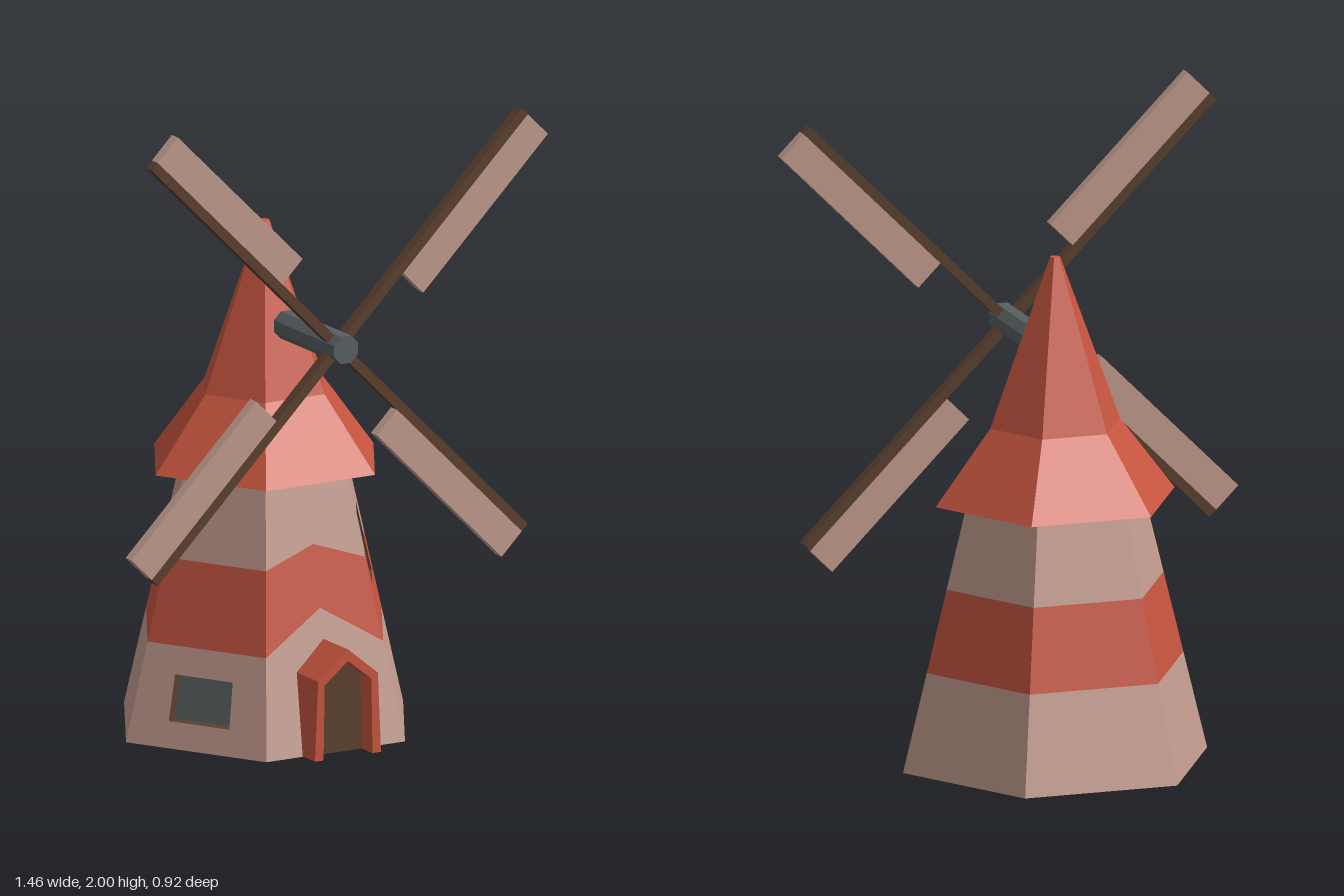
import * as THREE from 'three';

const CX = -0.007, CZ = -0.035, TOP = 0.82;
const mat = (color, side = THREE.FrontSide) =>
  new THREE.MeshStandardMaterial({ color, flatShading: true, side });
const M = {
  wall: mat(0xc49c8f), red: mat(0xc75540), wood: mat(0x5a3f2e),
  reveal: mat(0x5a3f2e, THREE.DoubleSide), grey: mat(0x596062), sail: mat(0xc09a8c),
};

function add(parent, name, geometry, material, x = 0, y = 0, z = 0) {
  const mesh = new THREE.Mesh(geometry, material);
  mesh.name = name;
  mesh.position.set(x, y, z);
  parent.add(mesh);
  return mesh;
}

// Tapered hexagonal tower: distance from axis to wall, and half width of a wall
const apothem = (y) => 0.422 - 0.216 * y;
const half = (y) => apothem(y) / Math.sqrt(3);

// Place a flat shape (u across the wall, y up) on the wall facing the given angle
function onWall(points, angle, depth = 0) {
  const g = new THREE.ShapeGeometry(new THREE.Shape(points.map((p) => new THREE.Vector2(...p))));
  const pos = g.attributes.position;
  for (let i = 0; i < pos.count; i++) pos.setXYZ(i, ...wallPoint(pos.getX(i), pos.getY(i), angle, depth));
  g.computeVertexNormals();
  return g;
}

function wallPoint(u, y, angle, depth) {
  const a = apothem(y) - depth, s = Math.sin(angle), c = Math.cos(angle);
  return [a * s + u * c, y, a * c - u * s];
}

// Edge of a colour band from left to right, with optional points in between
const edge = (y, inner = []) => [[-half(y), y], ...inner, [half(y), y]];

// Recessed window: four reveal quads and a pane
function addWindow(parent, name, corners, angle, depth) {
  const group = new THREE.Group();
  group.name = name;
  const verts = [];
  corners.forEach((p, i) => {
    const q = corners[(i + 1) % 4];
    const [a, b, c, d] = [[p, 0], [q, 0], [q, depth], [p, depth]].map(([r, k]) => wallPoint(...r, angle, k));
    verts.push(...a, ...b, ...c, ...a, ...c, ...d);
  });
  const g = new THREE.BufferGeometry();
  g.setAttribute('position', new THREE.Float32BufferAttribute(verts, 3));
  g.computeVertexNormals();
  add(group, 'windowReveal', g, M.reveal);
  add(group, 'windowPane', onWall(corners, angle, depth), M.grey);
  parent.add(group);
}

function createTower() {
  const tower = new THREE.Group();
  tower.name = 'tower';
  const low = [[-0.105, 0.08], [0.105, 0.08], [0.1, 0.22], [-0.1, 0.22]];
  const high = [[-0.09, 0.45], [0.09, 0.45], [0.066, 0.67], [-0.066, 0.67]];
  const Y1 = 0.305, Y2 = 0.56, cut = 0.078;

  for (let i = 0; i < 6; i++) {
    const angle = (i * Math.PI) / 3;
    const front = i === 0, windowHigh = i === 1, windowLow = i === 5;
    const e0 = edge(0);
    const e1 = edge(Y1, front ? [[0, 0.43]] : []);
    let stripeTop = edge(Y2, front ? [[0, 0.62]] : []), upperBottom = stripeTop;
    if (windowHigh) {
      // the upper window cuts into both bands
      stripeTop = edge(Y2, [[-cut, Y2], high[0], high[1], [cut, Y2]]);
      upperBottom = edge(Y2, [[-cut, Y2], high[3], high[2], [cut, Y2]]);
    }
    const band = (name, bottom, top, m) =>
      add(tower, name, onWall([...bottom, ...[...top].reverse()], angle), m);
    if (windowLow) {
      // lower wall in two pieces around the window opening
      band('lowerWall', e0, [e0[0], low[0], low[1], e0[1]], M.wall);
      band('lowerWall', [e0[0], low[0], low[3], low[2], low[1], e0[1]], e1, M.wall);
    } else band('lowerWall', e0, e1, M.wall);
    band('stripe', e1, stripeTop, M.red);
    band('upperWall', upperBottom, edge(TOP), M.wall);
  }
  addWindow(tower, 'upperWindow', high, Math.PI / 3, 0.04);
  addWindow(tower, 'lowerWindow', low, -Math.PI / 3, 0.035);

  const base = add(tower, 'towerBase', new THREE.CircleGeometry(half(0) * 2, 6), M.wall);
  base.rotation.x = Math.PI / 2;

  // Flared hexagonal roof with a flat underside
  const profile = [[0, TOP], [0.383, TOP], [0.208, 1.05], [0.016, 1.57], [0, 1.57]]
    .map((p) => new THREE.Vector2(...p));
  add(tower, 'roof', new THREE.LatheGeometry(profile, 6, Math.PI / 2), M.red);
  tower.position.set(CX, 0, CZ);
  return tower;
}

function createDoorway() {
  const door = new THREE.Group();
  door.name = 'doorway';
  const arch = (foot, w, shoulder, peak) =>
    [[-foot, 0.001], [foot, 0.001], [w, shoulder], [0, peak], [-w, shoulder]].map((p) => new THREE.Vector2(...p));
  // Frame as one outline: outer arch, then back along the opening
  const outer = arch(0.116, 0.105, 0.25, 0.337);
  const inner = arch(0.086, 0.082, 0.235, 0.3);
  const outline = [...outer.slice(1), outer[0], inner[0], inner[4], inner[3], inner[2], inner[1]];
  const extrude = (pts, depth) =>
    new THREE.ExtrudeGeometry(new THREE.Shape(pts), { depth, bevelEnabled: false });
  add(door, 'doorFrame', extrude(outline, 0.16), M.red, 0, 0, 0.3);
  add(door, 'doorPanel', extrude(inner, 0.09), M.wood, 0, 0, 0.305);
  door.position.x = CX;
  return door;
}

function createSails() {
  const sails = new THREE.Group();
  sails.name = 'sails';
  const axle = new THREE.CylinderGeometry(0.046, 0.046, 0.357, 8);
  axle.rotateY(Math.PI / 8).rotateX(Math.PI / 2);
  add(sails, 'axle', axle, M.grey, 0, 0, 0.267);
  for (let i = 0; i < 4; i++) {
    const blade = new THREE.Group();
    blade.name = 'blade';
    add(blade, 'spar', new THREE.BoxGeometry(0.03, 0.92, 0.036), M.wood, 0, 0.46, 0);
    add(blade, 'sail', new THREE.BoxGeometry(0.1, 0.62, 0.036), M.sail, 0.065, 0.61, 0);
    blade.position.z = 0.39;
    blade.rotation.z = Math.PI / 4 + (i * Math.PI) / 2;
    sails.add(blade);
  }
  sails.position.set(-0.005, 1.27, 0);
  return sails;
}

export function createModel() {
  const model = new THREE.Group();
  model.name = 'windmill';
  model.add(createTower(), createDoorway(), createSails());
  return model;
}
